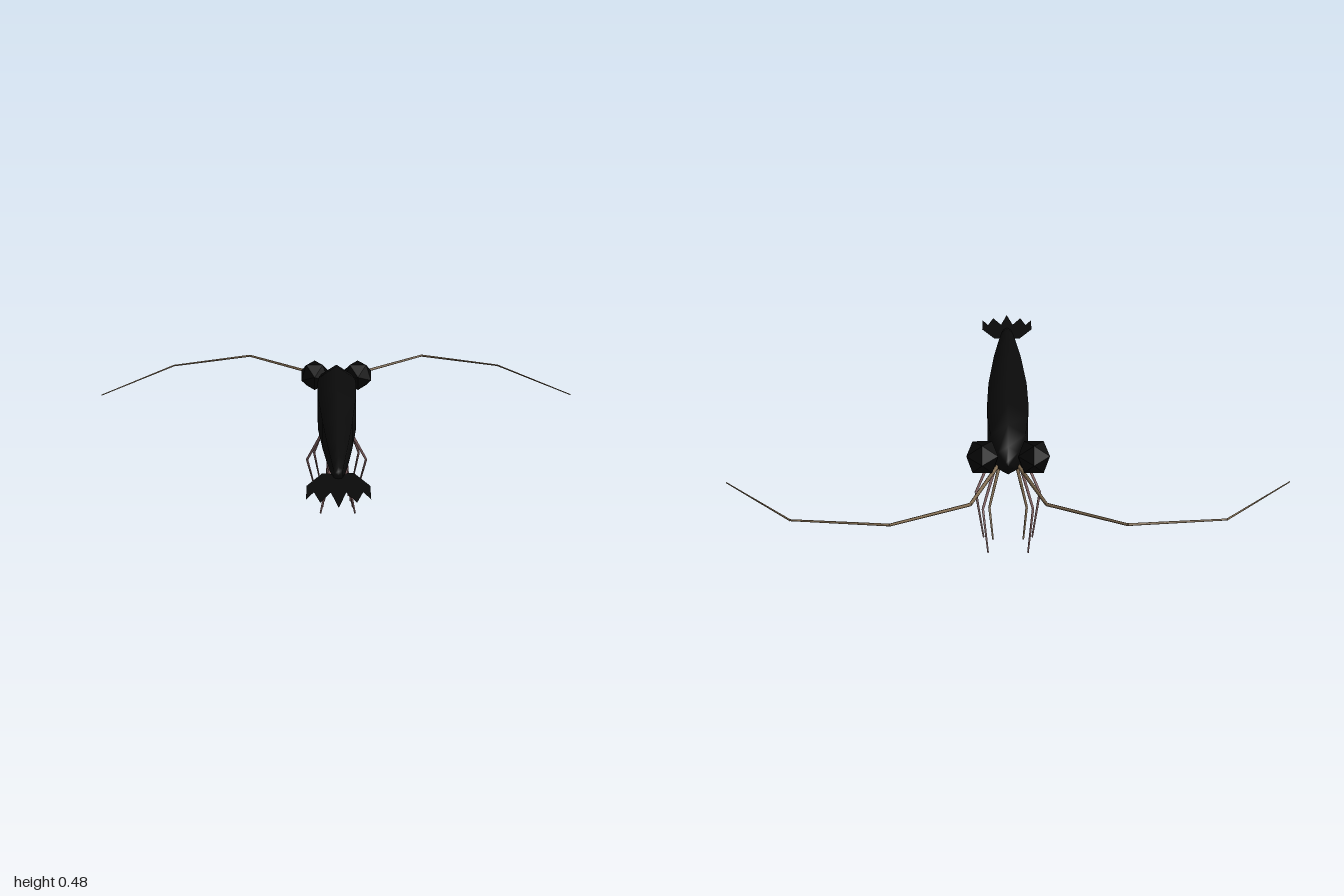
import * as THREE from 'three';

const mat = (name, color, side = THREE.FrontSide) => {
  const m = new THREE.MeshStandardMaterial({ color, side });
  m.name = name;
  return m;
};

// Jointed, tapering limb made of thin cylinders through the given points
function limb(name, points, r0, r1, material) {
  const group = new THREE.Group();
  group.name = name;
  const pts = points.map((p) => new THREE.Vector3(...p));
  const n = pts.length - 1;
  for (let i = 0; i < n; i++) {
    const dir = pts[i + 1].clone().sub(pts[i]);
    const ra = r0 + ((r1 - r0) * i) / n;
    const rb = r0 + ((r1 - r0) * (i + 1)) / n;
    const seg = new THREE.Mesh(new THREE.CylinderGeometry(rb, ra, dir.length(), 5), material);
    seg.name = name + 'Segment';
    seg.position.copy(pts[i]).addScaledVector(dir, 0.5);
    seg.quaternion.setFromUnitVectors(new THREE.Vector3(0, 1, 0), dir.normalize());
    group.add(seg);
  }
  return group;
}

// Six-sided body lofted along z from [z, half width, bottom, top]
function bodyGeometry(sections) {
  const ring = [[1, -0.6], [1, 0.6], [0, 1], [-1, 0.6], [-1, -0.6], [0, -1]];
  const pos = [], idx = [];
  sections.forEach(([z, w, lo, hi], i) => {
    ring.forEach(([x, y], j) => {
      pos.push(x * w, (lo + hi) / 2 + (y * (hi - lo)) / 2, z);
      if (i === sections.length - 1) return;
      const a = i * 6 + j, b = i * 6 + ((j + 1) % 6);
      idx.push(a, b, b + 6, a, b + 6, a + 6);
    });
  });
  const g = new THREE.BufferGeometry();
  g.setAttribute('position', new THREE.Float32BufferAttribute(pos, 3));
  g.setIndex(idx);
  g.computeVertexNormals();
  return g;
}

export function createModel() {
  const model = new THREE.Group();
  model.name = 'shrimp';
  const shell = mat('shellBlack', 0x0b0b0b);
  const fanMat = mat('tailBlack', 0x0a0a0a, THREE.DoubleSide);
  const eyeMat = mat('eyeBlack', 0x060606);
  const tan = mat('antennaTan', 0x8a7458);
  const pink = mat('legPink', 0x8c6a6a);

  const body = new THREE.Mesh(bodyGeometry([
    [-0.55, 0, 0.37, 0.37],
    [-0.545, 0.008, 0.355, 0.385],
    [-0.5, 0.033, 0.315, 0.415],
    [-0.43, 0.058, 0.28, 0.462],
    [-0.3, 0.068, 0.257, 0.478],
    [-0.2, 0.07, 0.254, 0.478],
    [0, 0.067, 0.262, 0.457],
    [0.3, 0.05, 0.27, 0.42],
    [0.5, 0.035, 0.274, 0.385],
    [0.65, 0.022, 0.28, 0.358],
    [0.72, 0.015, 0.29, 0.337],
    [0.735, 0.01, 0.302, 0.325],
    [0.735, 0, 0.313, 0.313],
  ]), shell);
  body.name = 'body';
  model.add(body);

  // Tail fan: flat blades, each an outline in (x, z)
  const blade = (name, outline) => {
    const shape = new THREE.Shape(outline.map(([x, z]) => new THREE.Vector2(x, z - 0.68)));
    const mesh = new THREE.Mesh(new THREE.ShapeGeometry(shape), fanMat);
    mesh.name = name;
    mesh.position.set(0, 0.307, 0.68);
    mesh.rotation.x = Math.PI / 2 + 0.09;
    model.add(mesh);
  };
  blade('tailCentre', [[-0.015, 0.7], [0.015, 0.7], [0.024, 0.86], [0, 1], [-0.024, 0.86]]);

  for (const s of [1, -1]) {
    const side = s > 0 ? 'left' : 'right';
    const m = (pts) => pts.map(([x, ...rest]) => [x * s, ...rest]);

    blade(side + 'TailBlade', m([[0.005, 0.72], [0.028, 0.68], [0.05, 0.68], [0.098, 0.8],
      [0.098, 0.925], [0.075, 0.86], [0.055, 0.955], [0.022, 0.86]]));

    const eye = new THREE.Mesh(new THREE.IcosahedronGeometry(0.06, 0), eyeMat);
    eye.name = side + 'Eye';
    eye.position.set(0.083 * s, 0.401, -0.545);
    eye.rotation.x = Math.PI / 6;
    model.add(eye);

    model.add(limb(side + 'Antenna', m([[0.035, 0.34, -0.49], [0.118, 0.37, -0.81],
      [0.355, 0.402, -0.998], [0.66, 0.375, -0.918], [0.91, 0.32, -0.565]]), 0.007, 0.002, tan));

    // Walking legs: [hip, knee, foot]
    [
      [[0.035, 0.28, -0.195], [0.11, 0.13, -0.275], [0.083, 0.004, -0.365]],
      [[0.035, 0.28, -0.315], [0.085, 0.13, -0.395], [0.067, 0.015, -0.49]],
      [[0.03, 0.31, -0.435], [0.062, 0.19, -0.495], [0.05, 0.105, -0.56]],
    ].forEach((p, i) => model.add(limb(side + 'WalkingLeg', m(p), 0.006, 0.003, i === 2 ? tan : pink)));

    // Swimming legs under the abdomen
    for (let i = 0; i < 5; i++) {
      const z = -0.01 + i * 0.115;
      model.add(limb(side + 'SwimmingLeg',
        m([[0.03 - i * 0.002, 0.285, z - 0.002], [0.033 + i * 0.006, 0.085 + i * 0.01, z + 0.036]]),
        0.006, 0.003, pink));
    }
  }
  return model;
}
